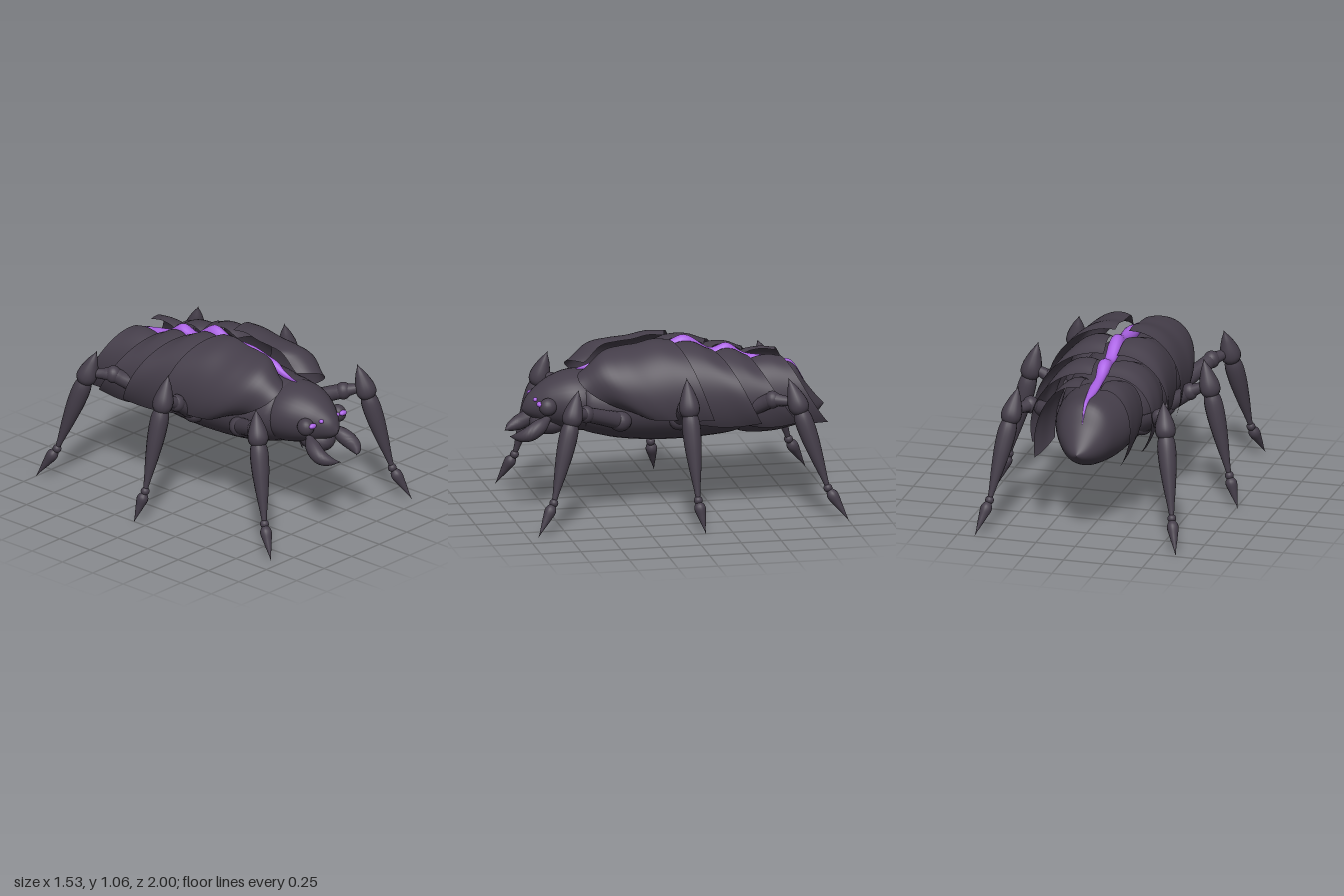
import * as THREE from 'three';
import { mergeVertices } from 'three/addons/utils/BufferGeometryUtils.js';

// Smooth interpolation through a list of equal-length rows, t in 0..1
function sample(rows, t) {
  const f = t * (rows.length - 1), i = Math.min(Math.floor(f), rows.length - 2), u = f - i;
  const row = k => rows[Math.max(0, Math.min(rows.length - 1, k))];
  return rows[i].map((b, c) => {
    const a = row(i - 1)[c], d = row(i + 1)[c], e = row(i + 2)[c];
    return b + 0.5 * u * (d - a + u * (2 * a - 5 * b + 4 * d - e + u * (3 * (b - d) + e - a)));
  });
}

// Smooth surface over a grid, at(u, v) gives a point
function surface(nu, nv, at) {
  const pos = [], index = [];
  for (let i = 0; i <= nu; i++) for (let j = 0; j <= nv; j++) pos.push(...at(i / nu, j / nv));
  for (let i = 0; i < nu; i++) for (let j = 0; j < nv; j++) {
    const a = i * (nv + 1) + j, c = a + nv + 1;
    index.push(a, a + 1, c, a + 1, c + 1, c);
  }
  const g = new THREE.BufferGeometry();
  g.setAttribute('position', new THREE.Float32BufferAttribute(pos, 3));
  g.setIndex(index);
  const merged = mergeVertices(g, 1e-5);
  merged.computeVertexNormals();
  return merged;
}

// Body-like form from rows [z, halfWidth, bottom, top], back to front
const hull = (rows, nu = 40, nv = 36) => surface(nu, nv, (u, v) => {
  const [z, w, b, t] = sample(rows, u), a = v === 1 ? 0 : v * Math.PI * 2;
  return [Math.max(0, w) * Math.cos(a), (b + t) / 2 + (t - b) / 2 * Math.sin(a), z];
});

// Tapered limb from rows [x, y, z, radius]
function limb(rows, side, nu = 24, nv = 16) {
  const curve = new THREE.CatmullRomCurve3(rows.map(p => new THREE.Vector3(p[0] * side, p[1], p[2])), false, 'catmullrom', 0.5);
  const pts = [], tangents = [];
  for (let i = 0; i <= nu; i++) {
    pts.push(curve.getPoint(i / nu));
    tangents.push(curve.getTangent(i / nu));
  }
  const ref = new THREE.Vector3(0.31, 0.11, 0.94);
  return surface(nu, nv, (u, v) => {
    const i = Math.round(u * nu), a = v === 1 ? 0 : v * Math.PI * 2;
    const n = new THREE.Vector3().crossVectors(ref, tangents[i]).normalize();
    const b = new THREE.Vector3().crossVectors(tangents[i], n);
    const r = Math.max(0, sample(rows, u)[3]);
    return pts[i].clone().addScaledVector(n, r * Math.cos(a)).addScaledVector(b, r * Math.sin(a)).toArray();
  });
}

// Curved wing plate: radii rows [rx, ry] run front to back, edges slant with the angle
function plate(p, side) {
  return surface(24, 28, (u, v) => {
    const [rx, ry] = sample(p.radii, u);
    const a = THREE.MathUtils.degToRad(-10 + (p.end + 10) * v);
    const front = p.front - p.bow * (v - 0.35) ** 2;
    const back = p.back + (p.tip - p.back) * v ** p.power;
    return [side * (0.1 + rx * Math.sin(a)), p.cy + ry * Math.cos(a), front + (back - front) * u];
  });
}

export function createModel() {
  const model = new THREE.Group();
  const shell = new THREE.MeshStandardMaterial({ color: 0x453e4a, side: THREE.DoubleSide });
  shell.name = 'darkShell';
  const glow = new THREE.MeshStandardMaterial({ color: 0xaa62e4 });
  glow.name = 'purple';

  const add = (name, geometry, material = shell, parent = model) => {
    const m = new THREE.Mesh(geometry, material);
    m.name = name;
    parent.add(m);
  };
  const ball = (name, x, y, z, sx, sy, sz, material = shell, parent = model) =>
    add(name, new THREE.SphereGeometry(1, 20, 14).scale(sx, sy, sz).translate(x, y, z), material, parent);

  // Thorax and pointed abdomen
  add('thorax', hull([
    [-0.5, 0.2, 0.52, 0.82], [-0.42, 0.26, 0.455, 0.86], [-0.25, 0.295, 0.43, 0.89], [0, 0.31, 0.42, 0.91],
    [0.25, 0.3, 0.435, 0.9], [0.42, 0.265, 0.465, 0.885], [0.56, 0.21, 0.52, 0.86], [0.62, 0, 0.67, 0.68],
  ]));
  add('abdomen', hull([
    [-0.975, 0, 0.575, 0.58], [-0.93, 0.06, 0.53, 0.63], [-0.86, 0.12, 0.485, 0.72], [-0.77, 0.18, 0.45, 0.85],
    [-0.62, 0.235, 0.43, 0.87], [-0.45, 0.25, 0.44, 0.87], [-0.35, 0.2, 0.5, 0.84],
  ]));

  // Head and jaw
  add('head', hull([
    [0.45, 0.2, 0.5, 0.86], [0.55, 0.22, 0.5, 0.88], [0.65, 0.2, 0.52, 0.87], [0.75, 0.15, 0.55, 0.83],
    [0.82, 0.1, 0.58, 0.78], [0.88, 0.048, 0.61, 0.72], [0.91, 0, 0.645, 0.655],
  ]));
  ball('lowerJaw', 0, 0.56, 0.74, 0.1, 0.08, 0.12);

  // Glowing spine ridge
  add('spine', hull([
    [-0.85, 0, 0.735, 0.74], [-0.78, 0.015, 0.78, 0.855], [-0.7, 0.022, 0.83, 0.88], [-0.58, 0.032, 0.86, 0.905],
    [-0.47, 0.03, 0.87, 0.93], [-0.37, 0.042, 0.9, 0.995], [-0.26, 0.035, 0.92, 0.97], [-0.11, 0.046, 0.93, 1.06],
    [0.02, 0.035, 0.93, 1.02], [0.2, 0.046, 0.92, 1.01], [0.32, 0.033, 0.91, 0.985], [0.4, 0.028, 0.9, 0.965],
    [0.47, 0.014, 0.88, 0.92], [0.57, 0, 0.87, 0.885],
  ], 72, 16), glow);

  const plates = [
    { front: 0.6, bow: 0.75, back: 0.01, tip: -0.21, power: 1.2, cy: 0.72, end: 108,
      radii: [[0.19, 0.18], [0.265, 0.285], [0.29, 0.31], [0.297, 0.32], [0.307, 0.342], [0.326, 0.335]] },
    { front: 0.1, bow: 0.55, back: -0.24, tip: -0.51, power: 1.2, cy: 0.7, end: 116,
      radii: [[0.25, 0.3], [0.265, 0.335], [0.288, 0.33], [0.322, 0.285]] },
    { front: -0.18, bow: 0.55, back: -0.48, tip: -0.75, power: 1.7, cy: 0.68, end: 120,
      radii: [[0.24, 0.26], [0.26, 0.295], [0.268, 0.29], [0.282, 0.25]] },
    { front: -0.4, bow: 0.45, back: -0.69, tip: -0.945, power: 1.7, cy: 0.66, end: 120,
      radii: [[0.17, 0.23], [0.18, 0.26], [0.188, 0.269], [0.2, 0.256]] },
  ];

  // Legs: hip, joint, knee top, ankle and toe positions
  const legs = [
    { name: 'frontLeg', hip: [0.27, 0.61, 0.35], joint: [0.4, 0.7, 0.59], knee: [0.46, 0.875, 0.65], ankle: [0.58, 0.2, 0.83], toe: [0.64, 0, 0.94] },
    { name: 'middleLeg', hip: [0.28, 0.6, -0.02], joint: [0.44, 0.71, -0.02], knee: [0.525, 0.93, -0.01], ankle: [0.7, 0.2, -0.045], toe: [0.765, 0, -0.08] },
    { name: 'rearLeg', hip: [0.24, 0.6, -0.38], joint: [0.41, 0.73, -0.57], knee: [0.46, 0.875, -0.66], ankle: [0.58, 0.2, -0.88], toe: [0.64, 0, -1.0] },
  ];
  const mix = (a, b, t) => a.map((n, i) => n + (b[i] - n) * t);

  for (const side of [1, -1]) {
    const label = side > 0 ? 'left' : 'right';
    plates.forEach((p, i) => add(`${label}WingPlate${i + 1}`, plate(p, side)));

    // Eyes and sockets
    ball(`${label}EyeSocket`, side * 0.145, 0.688, 0.775, 0.05, 0.055, 0.055);
    ball(`${label}Eye`, side * 0.138, 0.706, 0.826, 0.028, 0.017, 0.018, glow);
    ball(`${label}SmallEye`, side * 0.072, 0.72, 0.838, 0.014, 0.013, 0.015, glow);

    // Curved mandible
    add(`${label}Mandible`, limb([
      [0.1, 0.61, 0.76, 0.02], [0.13, 0.565, 0.82, 0.046], [0.145, 0.525, 0.89, 0.047], [0.122, 0.505, 0.95, 0.03], [0.07, 0.495, 1.0, 0],
    ], side));

    for (const l of legs) {
      const g = new THREE.Group();
      g.name = `${label}${l.name[0].toUpperCase()}${l.name.slice(1)}`;
      model.add(g);
      const at = (a, b, t, r) => [...mix(a, b, t), r];
      const neck = mix(l.knee, l.ankle, 0.22);
      // Hip, upper leg and rounded joint
      ball('hip', side * l.hip[0], l.hip[1], l.hip[2], 0.07, 0.065, 0.07, shell, g);
      add('upperLeg', limb([
        at(l.hip, l.joint, 0, 0.055), at(l.hip, l.joint, 0.4, 0.05), at(l.hip, l.joint, 0.8, 0.047), at(l.hip, l.joint, 1, 0.045),
        at(l.joint, neck, 0.4, 0.035), at(l.joint, neck, 1, 0.025),
      ], side), shell, g);
      ball('joint', side * l.joint[0], l.joint[1], l.joint[2], 0.05, 0.055, 0.05, shell, g);
      // Pointed knee cap tucked over the shin
      add('knee', limb([
        at(l.knee, l.ankle, 0, 0), at(l.knee, l.ankle, 0.1, 0.034), at(l.knee, l.ankle, 0.22, 0.062), at(l.knee, l.ankle, 0.3, 0.054),
        at(l.knee, l.ankle, 0.37, 0),
      ], side), shell, g);
      add('shin', limb([
        at(l.knee, l.ankle, 0.24, 0.03), at(l.knee, l.ankle, 0.36, 0.055), at(l.knee, l.ankle, 0.52, 0.055),
        at(l.knee, l.ankle, 0.72, 0.04), at(l.knee, l.ankle, 1, 0.014),
      ], side), shell, g);
      ball('ankle', side * l.ankle[0], l.ankle[1], l.ankle[2], 0.027, 0.027, 0.027, shell, g);
      add('claw', limb([
        at(l.ankle, l.toe, -0.02, 0.008), at(l.ankle, l.toe, 0.2, 0.035), at(l.ankle, l.toe, 0.5, 0.024), at(l.ankle, l.toe, 1, 0),
      ], side), shell, g);
    }
  }
  return model;
}
